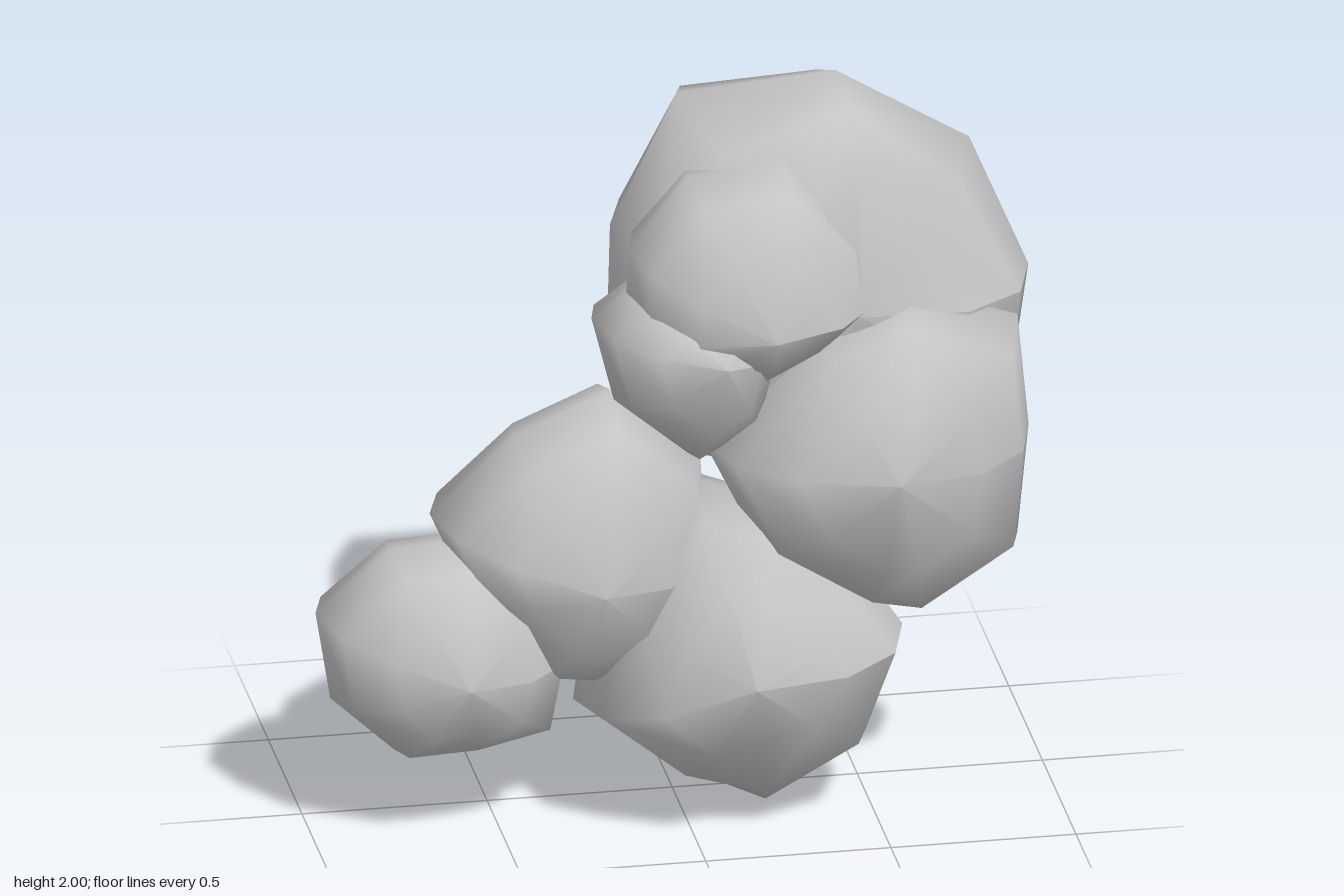
import * as THREE from 'three';

const STACKS = 6;

// Lumpy sphere with poles along z. Outline points run counter-clockwise from +x:
// [x, y, front profile, back profile]; a profile under 1 is boxy, over 1 is conical.
function blob(name, material, front, back, mid, outline) {
  const n = outline.length, w = n + 1, pos = [], index = [];
  for (let i = 0; i <= STACKS; i++) {
    const t = (Math.PI * i) / STACKS, c = Math.cos(t);
    const pole = c > 0 ? front : back;
    const z = mid + (pole[2] - mid) * Math.abs(c);
    // the last column repeats the first, leaving a shading seam on the +x side
    for (let j = 0; j <= n; j++) {
      const [x, y, pf = 0.85, pb = 0.85] = outline[j % n];
      const s = Math.pow(Math.max(0, Math.sin(t)), c > 0 ? pf : pb);
      pos.push(pole[0] + (x - pole[0]) * s, pole[1] + (y - pole[1]) * s, z);
    }
  }
  for (let i = 0; i < STACKS; i++) {
    for (let j = 0; j < n; j++) {
      const a = i * w + j, b = a + w;
      if (i > 0) index.push(a, b, a + 1);
      if (i < STACKS - 1) index.push(a + 1, b, b + 1);
    }
  }
  const g = new THREE.BufferGeometry();
  g.setAttribute('position', new THREE.Float32BufferAttribute(pos, 3));
  g.setIndex(index);
  g.computeVertexNormals();
  const mesh = new THREE.Mesh(g, material);
  mesh.name = name;
  return mesh;
}

export function createModel() {
  const group = new THREE.Group();
  group.name = 'lumpCluster';
  const stone = new THREE.MeshStandardMaterial({ color: 0xc4c4c4 });
  stone.name = 'stone grey';

  group.add(
    // large mass at the top and back
    blob('topLump', stone, [0.46, 1.45, 0.29], [0.38, 1.4, -0.54], -0.1, [
      [0.98, 1.4, 0.8, 1.7], [0.82, 1.78, 1.2, 1.5], [0.46, 2.0, 0.4, 1.15],
      [0.03, 1.97, 1.6, 1.05], [-0.15, 1.6, 1.2, 0.9], [-0.16, 1.22, 1, 0.95],
      [0.04, 0.93, 0.9, 1.2], [0.32, 0.88, 0.85, 1.4],
      [0.65, 0.93, 0.85, 1.3], [0.94, 1.12, 0.85, 1.3]]),
    // lump on the model's left
    blob('leftLump', stone, [0.52, 1.06, 0.54], [0.5, 1.0, -0.2], 0.18, [
      [0.93, 1.06, 0.85, 1.15], [0.9, 1.38, 0.85, 1.3], [0.6, 1.48, 0.8, 1.3],
      [0.34, 1.4], [0.05, 1.08], [0.2, 0.77], [0.47, 0.6],
      [0.62, 0.57], [0.9, 0.75]]),
    // foot lump resting on the ground
    blob('bottomLump', stone, [0.14, 0.48, 0.5], [0.12, 0.48, -0.25], 0.12, [
      [0.6, 0.48, 0.85, 1], [0.5, 0.63], [0.2, 0.88], [0.02, 0.95],
      [-0.18, 0.65], [-0.29, 0.33], [-0.04, 0.13, 0.8, 1.1],
      [0.23, 0, 1.6, 1.4], [0.5, 0.18, 1.1, 1.1]]),
    // arm: middle and end lumps on the model's right
    blob('armLump', stone, [-0.25, 0.73, 0.39], [-0.24, 0.75, -0.25], 0.08, [
      [0.08, 0.73], [0.06, 1.0], [-0.18, 1.2], [-0.44, 1.09], [-0.67, 0.88],
      [-0.57, 0.65], [-0.4, 0.41], [-0.25, 0.39], [-0.03, 0.5]]),
    blob('armEndLump', stone, [-0.61, 0.48, 0.37], [-0.64, 0.48, -0.19], 0.09, [
      [-0.3, 0.48], [-0.36, 0.7], [-0.58, 0.8], [-0.78, 0.79], [-0.98, 0.62, 0.95],
      [-0.94, 0.37, 0.95, 0.75], [-0.77, 0.21], [-0.56, 0.22], [-0.34, 0.27]]),
    // two small lumps on the front of the large mass
    blob('upperFrontLump', stone, [0.21, 1.44, 0.41], [0.15, 1.55, -0.15], 0.12, [
      [0.52, 1.47, 0.75], [0.48, 1.66, 0.9], [0.28, 1.85], [0.02, 1.82],
      [-0.14, 1.62], [-0.15, 1.42], [0.0, 1.34], [0.2, 1.25], [0.38, 1.34]]),
    blob('lowerFrontLump', stone, [0.08, 1.37, 0.4], [0.0, 1.3, -0.12], 0.12, [
      [0.26, 1.36], [0.16, 1.52, 1.1], [-0.1, 1.53, 1.1], [-0.24, 1.43], [-0.18, 1.19],
      [0.02, 1.02], [0.2, 1.12]])
  );
  return group;
}
